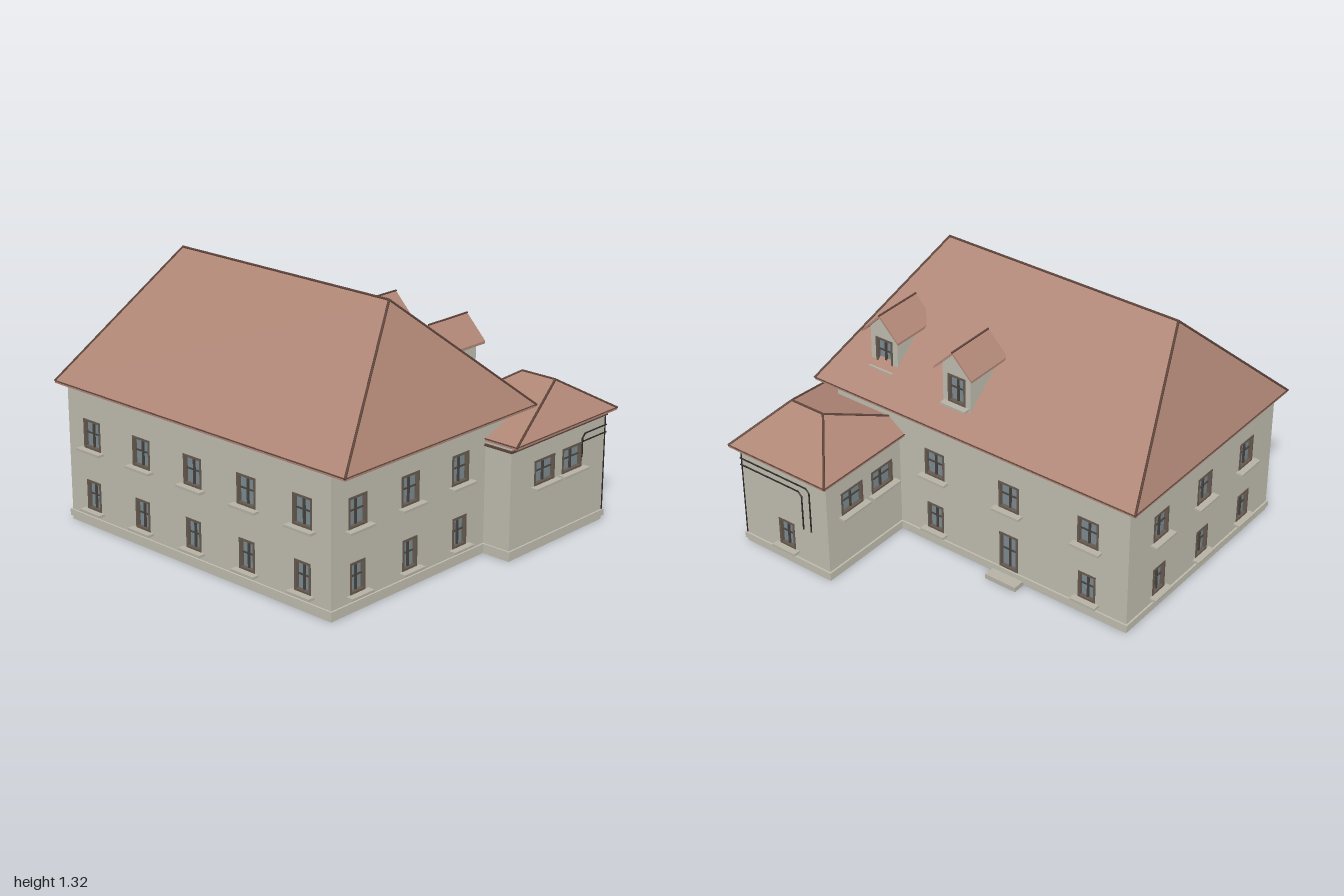
import * as THREE from 'three';

const mat = (name, color, side = THREE.FrontSide) => {
  const m = new THREE.MeshStandardMaterial({ color, side });
  m.name = name;
  return m;
};

export function createModel() {
  const model = new THREE.Group();
  const plaster = mat('plaster', 0xbfbbae);
  const stone = mat('sill stone', 0xb5b1a4);
  const tile = mat('roof tile', 0xb08676);
  const trim = mat('dark trim', 0x5e443a);
  const frameMat = mat('window frame', 0x655a50);
  const barMat = mat('window bars', 0x47423d);
  const glass = mat('glass', 0x7b8a90);
  const pipeMat = mat('pipe', 0x2b2826);

  const add = (parent, name, geometry, material) => {
    const m = new THREE.Mesh(geometry, material);
    m.name = name;
    parent.add(m);
    return m;
  };
  // Box given by its limits on each axis
  const box = (parent, name, material, x0, x1, y0, y1, z0, z1) => {
    const m = add(parent, name, new THREE.BoxGeometry(x1 - x0, y1 - y0, z1 - z0), material);
    m.position.set((x0 + x1) / 2, (y0 + y1) / 2, (z0 + z1) / 2);
    return m;
  };
  // Thin round bar between two points
  const rod = (name, material, a, b, r) => {
    const p = new THREE.Vector3(...a), q = new THREE.Vector3(...b);
    const d = q.clone().sub(p);
    const m = add(model, name, new THREE.CylinderGeometry(r, r, d.length() + r, 6), material);
    m.position.copy(p).add(q).multiplyScalar(0.5);
    m.quaternion.setFromUnitVectors(new THREE.Vector3(0, 1, 0), d.normalize());
  };

  // Recessed window: x centre, bottom, width, height; outward is local +z
  const addWindow = (parent, { x, y, w, h, sill = true }) => {
    const g = new THREE.Group();
    g.name = 'window';
    g.position.set(x, y, 0);
    parent.add(g);
    const t = 0.011, a = w / 2;
    box(g, 'pane', glass, -a, a, 0, h, -0.022, -0.017);
    for (const s of [-1, 1]) {
      const e = s * (a - t / 2);
      box(g, 'frameSide', frameMat, e - t / 2, e + t / 2, 0, h, -0.018, 0.003);
    }
    box(g, 'frameBottom', frameMat, -a, a, 0, t, -0.018, 0.003);
    box(g, 'frameTop', frameMat, -a, a, h - t, h, -0.018, 0.003);
    box(g, 'mullion', barMat, -0.005, 0.005, t, h - t, -0.018, -0.008);
    box(g, 'crossBar', barMat, -a + t, a - t, h * 0.53 - 0.003, h * 0.53 + 0.003, -0.018, -0.01);
    if (sill) box(g, 'sill', stone, -a - 0.022, a + 0.022, -0.012, 0, -0.01, 0.037);
  };
  // Wall panel with openings cut out
  const wall = (name, outline, windows, pos, rotY) => {
    const g = new THREE.Group();
    g.name = name;
    const shape = new THREE.Shape(outline.map(p => new THREE.Vector2(...p)));
    for (const { x, y, w, h } of windows) {
      const a = w / 2;
      shape.holes.push(new THREE.Path([[x - a, y], [x - a, y + h], [x + a, y + h], [x + a, y]]
        .map(p => new THREE.Vector2(...p))));
    }
    const geo = new THREE.ExtrudeGeometry(shape, { depth: 0.025, bevelEnabled: false });
    add(g, 'wallPanel', geo.translate(0, 0, -0.025), plaster);
    windows.forEach(o => addWindow(g, o));
    g.position.set(...pos);
    g.rotation.y = rotY;
    model.add(g);
  };
  const rect = (a, b, h) => [[a, 0], [b, 0], [b, h], [a, h]];
  const upper = x => ({ x, y: 0.405, w: 0.12, h: 0.15 });
  const lower = x => ({ x, y: 0.09, w: 0.1, h: 0.152 });
  const wide = x => ({ x, y: 0.33, w: 0.155, h: 0.127 });
  const rows = xs => xs.flatMap(x => [upper(x), lower(x)]);
  const H = Math.PI / 2;

  // Main house walls
  wall('frontWall', rect(-0.95, 0.8, 0.71), rows([-0.78, -0.427, -0.075, 0.277, 0.627]), [0, 0, 0.89], 0);
  wall('leftWall', rect(-0.89, 0.35, 0.71), rows([-0.72, -0.37, -0.02]), [0.8, 0, 0], H);
  wall('rightWall', rect(-0.35, 0.89, 0.71), rows([-0.09, 0.28, 0.65]), [-0.95, 0, 0], -H);
  const door = { x: 0.26, y: 0.055, w: 0.11, h: 0.205, sill: false };
  wall('backWall', rect(-0.8, 0.95, 0.71),
    [...[-0.19, 0.26, 0.72].map(upper), lower(-0.19), lower(0.72), door], [0, 0, -0.35], 2 * H);
  box(model, 'backStep', stone, -0.35, -0.17, 0, 0.025, -0.42, -0.35);

  // Annex walls
  wall('annexLeftWall', rect(0.16, 0.89, 0.57), [wide(0.415), wide(0.63)], [0.955, 0, 0], H);
  wall('annexRightWall', rect(-0.89, -0.3, 0.57), [wide(-0.71), wide(-0.49)], [0.41, 0, 0], -H);
  wall('annexBackWall', rect(-0.955, -0.41, 0.57), [lower(-0.68)], [0, 0, -0.89], 2 * H);
  wall('annexFrontWall', rect(0.41, 0.955, 0.57), [], [0, 0, -0.16], 0);

  // Floors, plinths and cornices
  for (const [n, x0, x1, z0, z1, c0, c1] of [
    ['main', -0.95, 0.8, -0.35, 0.89, 0.695, 0.705],
    ['annex', 0.41, 0.955, -0.89, -0.16, 0.545, 0.556]]) {
    box(model, n + 'Floor', plaster, x0 + 0.002, x1 - 0.002, 0, 0.02, z0 + 0.002, z1 - 0.002);
    const o = 0.009;
    box(model, n + 'Plinth', plaster, x0 - o, x1 + o, 0.02, 0.053, z0 - o, z1 + o);
    box(model, n + 'Cornice', trim, x0 - o, x1 + o, c0, c1, z0 - o, z1 + o);
  }

  // Hipped roof with fascia, flat underside and capped hips
  const hipRoof = (name, x0, x1, z0, z1, y, xa, xb, zr, yr) => {
    const A = [x0, y, z1], B = [x1, y, z1], C = [x1, y, z0], D = [x0, y, z0];
    const P = [xa, yr, zr], Q = [xb, yr, zr];
    const tris = [A, B, Q, A, Q, P, B, C, Q, C, D, P, C, P, Q, D, A, P];
    const geo = new THREE.BufferGeometry();
    geo.setAttribute('position', new THREE.Float32BufferAttribute(tris.flat(), 3));
    geo.computeVertexNormals();
    add(model, name, geo, tile);
    box(model, name + 'Eave', tile, x0, x1, y - 0.012, y - 0.001, z0, z1);
    for (const [a, b] of [[A, P], [D, P], [B, Q], [C, Q], [P, Q]]) rod(name + 'Cap', trim, a, b, 0.006);
    for (const [a, b] of [[A, B], [B, C], [C, D], [D, A]]) rod(name + 'Edge', trim, a, b, 0.003);
  };
  hipRoof('mainRoof', -0.997, 0.917, -0.385, 0.928, 0.718, -0.74, 0.605, 0.305, 1.312);
  hipRoof('annexRoof', 0.376, 0.99, -0.935, -0.155, 0.58, 0.625, 0.825, -0.65, 0.755);

  // Dormers on the rear slope
  const extrude = (pts, depth) => new THREE.ExtrudeGeometry(
    new THREE.Shape(pts.map(p => new THREE.Vector2(...p))), { depth, bevelEnabled: false });
  for (const [x, z] of [[0.102, -0.31], [0.59, -0.26]]) {
    const gable = [[-0.083, 0.8], [0.083, 0.8], [0.083, 1.03], [0, 1.115], [-0.083, 1.03]];
    wall('dormerFront', gable, [{ x: 0, y: 0.828, w: 0.105, h: 0.155 }], [x, 0, z + 0.03], 2 * H);
    add(model, 'dormerBody', extrude(gable, 0.215), plaster).position.set(x, 0, z + 0.054);
    const chevron = [[-0.113, 1.012], [-0.113, 1.0], [0, 1.114], [0.113, 1.0], [0.113, 1.012], [0, 1.128]];
    add(model, 'dormerRoof', extrude(chevron, 0.275), tile).position.set(x, 0, z);
    rod('dormerRidge', trim, [x, 1.127, z], [x, 1.127, z + 0.273], 0.005);
  }

  // Pipes wrapping the annex corner
  const pipe = pts => pts.slice(1).forEach((p, i) => rod('pipe', pipeMat, pts[i], p, 0.004));
  const px = 0.959, pz = -0.894;
  pipe([[px, 0.38, -0.705], [px, 0.475, -0.705], [px, 0.495, -0.725], [px, 0.495, pz],
    [0.535, 0.495, pz], [0.515, 0.475, pz], [0.515, 0.25, pz]]);
  pipe([[px, 0.457, -0.705], [px, 0.457, pz], [0.585, 0.457, pz], [0.565, 0.437, pz], [0.565, 0.245, pz]]);
  pipe([[0.955, 0.055, -0.89], [0.955, 0.545, -0.89]]);

  return model;
}
